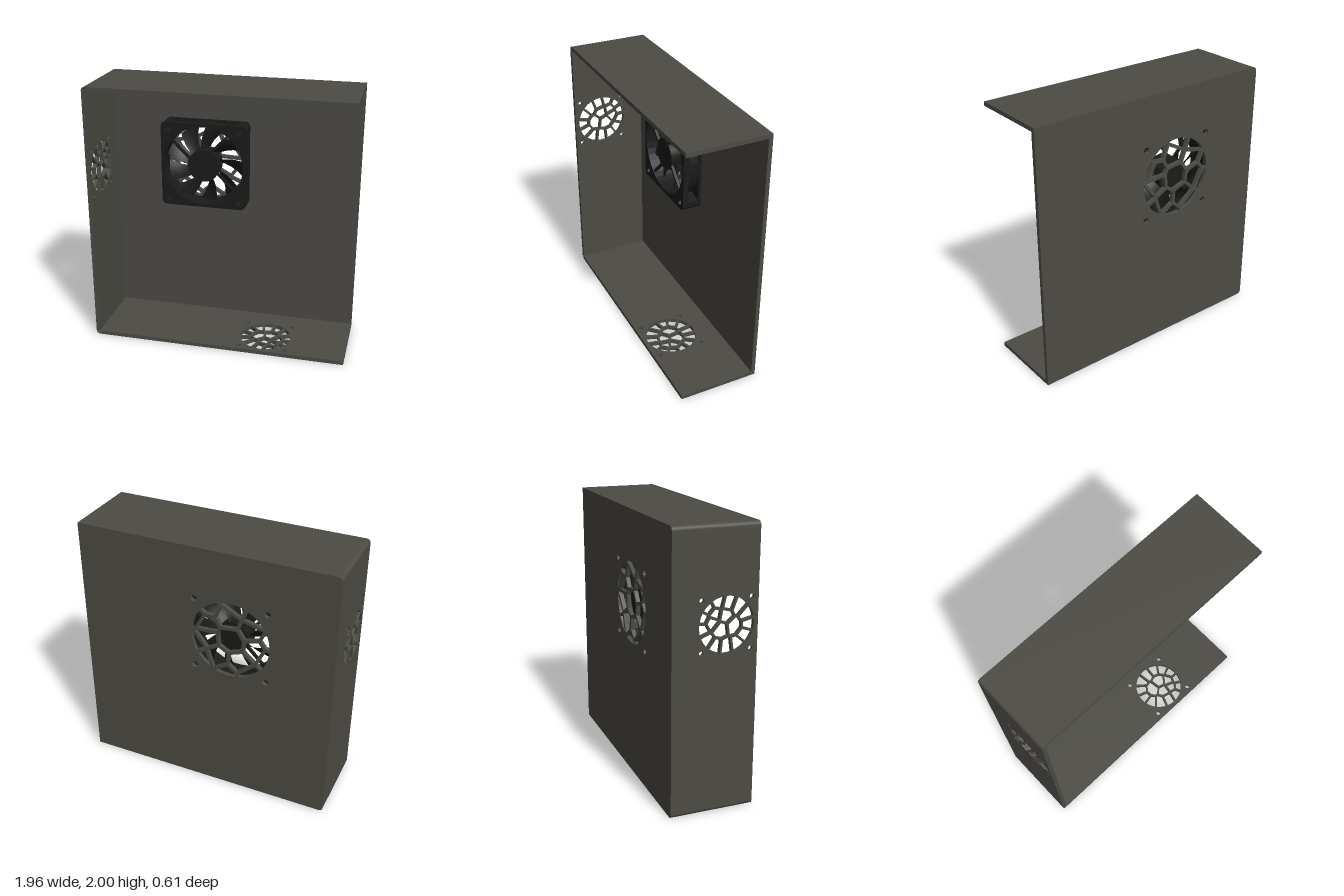
import * as THREE from 'three';

const W = 0.98, H = 2, D = 0.305, T = 0.03;      // case half width, height, half depth, sheet thickness
const FAN = { x: -0.205, y: 1.325, half: 0.333, bore: 0.31, screw: 0.278 };

const material = (name, color, extra = {}) => {
  const m = new THREE.MeshStandardMaterial({ color, ...extra });
  m.name = name;
  return m;
};

function add(parent, name, geometry, mat, x = 0, y = 0, z = 0) {
  const mesh = new THREE.Mesh(geometry, mat);
  mesh.name = name;
  mesh.position.set(x, y, z);
  parent.add(mesh);
  return mesh;
}

const circle = (x, y, r) => new THREE.Path().absarc(x, y, r, 0, Math.PI * 2, true);
const polygon = (pts) => new THREE.Shape(pts.map(([x, y]) => new THREE.Vector2(x, y)));
const rect = (x0, y0, x1, y1) => polygon([[x0, y0], [x1, y0], [x1, y1], [x0, y1]]);
const extrude = (shape, depth) =>
  new THREE.ExtrudeGeometry(shape, { depth, bevelEnabled: false, curveSegments: 20 });

// rectangle with one radius for the left corners and one for the right corners
function roundedRect(x0, y0, x1, y1, rl, rr) {
  const s = new THREE.Shape(), q = Math.PI / 2;
  const corner = (cx, cy, r, a) => (r ? s.absarc(cx, cy, r, a, a + q, false) : s.lineTo(cx, cy));
  s.moveTo(x0 + rl, y0);
  corner(x1 - rr, y0 + rr, rr, -q);
  corner(x1 - rr, y1 - rr, rr, 0);
  corner(x0 + rl, y1 - rl, rl, q);
  corner(x0 + rl, y0 + rl, rl, 2 * q);
  s.closePath();
  return s;
}

// keep the side of a polygon where p.n <= d
function clip(pts, nx, ny, d) {
  const out = [];
  pts.forEach((p, i) => {
    const q = pts[(i + 1) % pts.length];
    const a = p[0] * nx + p[1] * ny - d, b = q[0] * nx + q[1] * ny - d;
    if (a <= 0) out.push(p);
    if (a * b < 0) {
      const t = a / (a - b);
      out.push([p[0] + (q[0] - p[0]) * t, p[1] + (q[1] - p[1]) * t]);
    }
  });
  return out;
}

// round web grille: one hole per cell around each site, plus four screw holes
function cutGrille(shape, cx, cy, R, sites, bar, screw, screwR) {
  for (const s of sites) {
    let cell = [];
    for (let i = 0; i < 56; i++) {
      const a = (i / 56) * Math.PI * 2;
      cell.push([Math.cos(a) * R, Math.sin(a) * R]);
    }
    for (const o of sites) {
      if (o === s) continue;
      const dx = (o[0] - s[0]) * R, dy = (o[1] - s[1]) * R, l = Math.hypot(dx, dy);
      const nx = dx / l, ny = dy / l;
      const mid = ((s[0] + o[0]) * nx + (s[1] + o[1]) * ny) * R / 2;
      cell = clip(cell, nx, ny, mid - bar / 2);
    }
    if (cell.length > 2) shape.holes.push(polygon(cell.map(([x, y]) => [x + cx, y + cy])));
  }
  for (const sx of [-1, 1]) for (const sy of [-1, 1])
    shape.holes.push(circle(cx + sx * screw, cy + sy * screw, screwR));
}

// jittered rings of sites around a large centre cell
function ringSites() {
  let seed = 7;
  const rnd = () => (seed = (seed * 16807) % 2147483647) / 2147483647 - 0.5;
  const sites = [[0, 0]];
  for (const [n, r] of [[7, 0.66], [10, 0.98]])
    for (let i = 0; i < n; i++) {
      const a = ((i + 0.5 * rnd()) / n) * Math.PI * 2 + r, q = r + 0.12 * rnd();
      sites.push([Math.cos(a) * q, Math.sin(a) * q]);
    }
  return sites;
}

const SMALL_SITES = [
  [0.3, 0.81], [-0.08, 0.72], [-0.45, 0.58], [-0.74, 0.3], [-0.82, -0.05], [-0.7, -0.4],
  [-0.42, -0.72], [0, -0.78], [0.38, -0.74], [0.72, -0.5], [0.88, -0.1], [0.85, 0.3],
  [0.68, 0.62], [0.03, 0.32], [0.4, 0.38], [-0.3, -0.07], [0.2, -0.14], [0.5, 0.12]];

function buildCase(mat) {
  const g = new THREE.Group();
  g.name = 'case';

  const back = roundedRect(-W, 0, W, H, T, 0);
  cutGrille(back, FAN.x, FAN.y, 0.3, ringSites(), 0.024, FAN.screw, 0.025);
  add(g, 'backPanel', extrude(back, T), mat, 0, 0, -D);

  // side wall drawn in (z, y)
  const side = rect(-D + T, T, D, H - T);
  cutGrille(side, 0.08, 1.335, 0.195, SMALL_SITES.map(([x, y]) => [-x, y]), 0.016, 0.177, 0.017);
  add(g, 'sideWall', extrude(side, T).rotateY(-Math.PI / 2), mat, -W + T);

  // floor and top drawn in (x, z)
  const floor = rect(-W + T, -D + T, W, D);
  cutGrille(floor, 0.345, 0.08, 0.195, SMALL_SITES, 0.016, 0.177, 0.017);
  add(g, 'floor', extrude(floor, T).rotateX(Math.PI / 2), mat, 0, T);
  add(g, 'topPanel', extrude(rect(-W + T, -D + T, W, D), T).rotateX(Math.PI / 2), mat, 0, H);

  // rounded edges joining the side wall to floor and top
  for (const [y, a] of [[T, Math.PI], [H - T, Math.PI / 2]]) {
    const s = new THREE.Shape();
    s.moveTo(0, 0);
    s.absarc(0, 0, T, a, a + Math.PI / 2, false);
    s.closePath();
    add(g, 'roundedEdge', extrude(s, 2 * D - T), mat, -W + T, y, -D + T);
  }
  return g;
}

// swept, pitched blade surface from hub to tip
function bladeGeometry() {
  const geo = new THREE.PlaneGeometry(1, 1, 6, 8), p = geo.attributes.position;
  for (let i = 0; i < p.count; i++) {
    const u = p.getX(i), t = p.getY(i) + 0.5;
    const r = 0.115 + 0.185 * t;
    const a = -0.3 * t + u * (0.42 + 0.06 * t);
    p.setXYZ(i, Math.cos(a) * r, Math.sin(a) * r, 0.068 + u * (0.09 - 0.025 * t) - 0.02 * u * u);
  }
  geo.computeVertexNormals();
  return geo;
}

function buildFan(frameMat, bladeMat) {
  const g = new THREE.Group(), { half, bore, screw } = FAN;
  g.name = 'fan';
  g.position.set(FAN.x, FAN.y, -D + T);

  // back and front flanges
  for (const [name, z, depth] of [['backFlange', 0, 0.025], ['frontFlange', 0.105, 0.045]]) {
    const s = roundedRect(-half, -half, half, half, 0.04, 0.04);
    s.holes.push(circle(0, 0, bore));
    for (const x of [-screw, screw]) for (const y of [-screw, screw]) s.holes.push(circle(x, y, 0.025));
    add(g, name, extrude(s, depth), frameMat, 0, 0, z);
  }

  // round duct and corner posts between the flanges
  const duct = new THREE.Shape().absarc(0, 0, half - 0.002, 0, Math.PI * 2, false);
  duct.holes.push(circle(0, 0, bore));
  add(g, 'duct', extrude(duct, 0.08), frameMat, 0, 0, 0.025);
  for (let i = 0; i < 4; i++) {
    const post = polygon([[0.235, 0.235], [half, 0.265], [half, 0.305], [0.305, half], [0.265, half]]);
    post.holes.push(circle(screw, screw, 0.025));
    add(g, 'cornerPost', extrude(post, 0.08), frameMat, 0, 0, 0.025).rotation.z = i * Math.PI / 2;
  }

  // rotor
  add(g, 'hub', new THREE.CylinderGeometry(0.122, 0.122, 0.11, 40).rotateX(Math.PI / 2), frameMat, 0, 0, 0.07);
  const blade = bladeGeometry();
  for (let i = 0; i < 9; i++)
    add(g, 'blade', blade, bladeMat).rotation.z = (i / 9) * Math.PI * 2 + 0.2;

  // motor mount with four slanted struts
  add(g, 'motorMount', new THREE.CylinderGeometry(0.125, 0.125, 0.02, 40).rotateX(Math.PI / 2), frameMat, 0, 0, 0.135);
  for (let i = 0; i < 4; i++) {
    const strut = new THREE.BoxGeometry(0.23, 0.018, 0.02).translate(0.205, 0.04, 0);
    add(g, 'strut', strut, frameMat, 0, 0, 0.134).rotation.z = Math.PI / 4 + i * Math.PI / 2;
  }
  return g;
}

export function createModel() {
  const model = new THREE.Group();
  model.name = 'fanCase';
  const grey = material('warmGrey', 0x4c4b45);
  const black = material('fanBlack', 0x1b1b1c, { side: THREE.DoubleSide });
  model.add(buildCase(grey), buildFan(black, black));
  return model;
}
